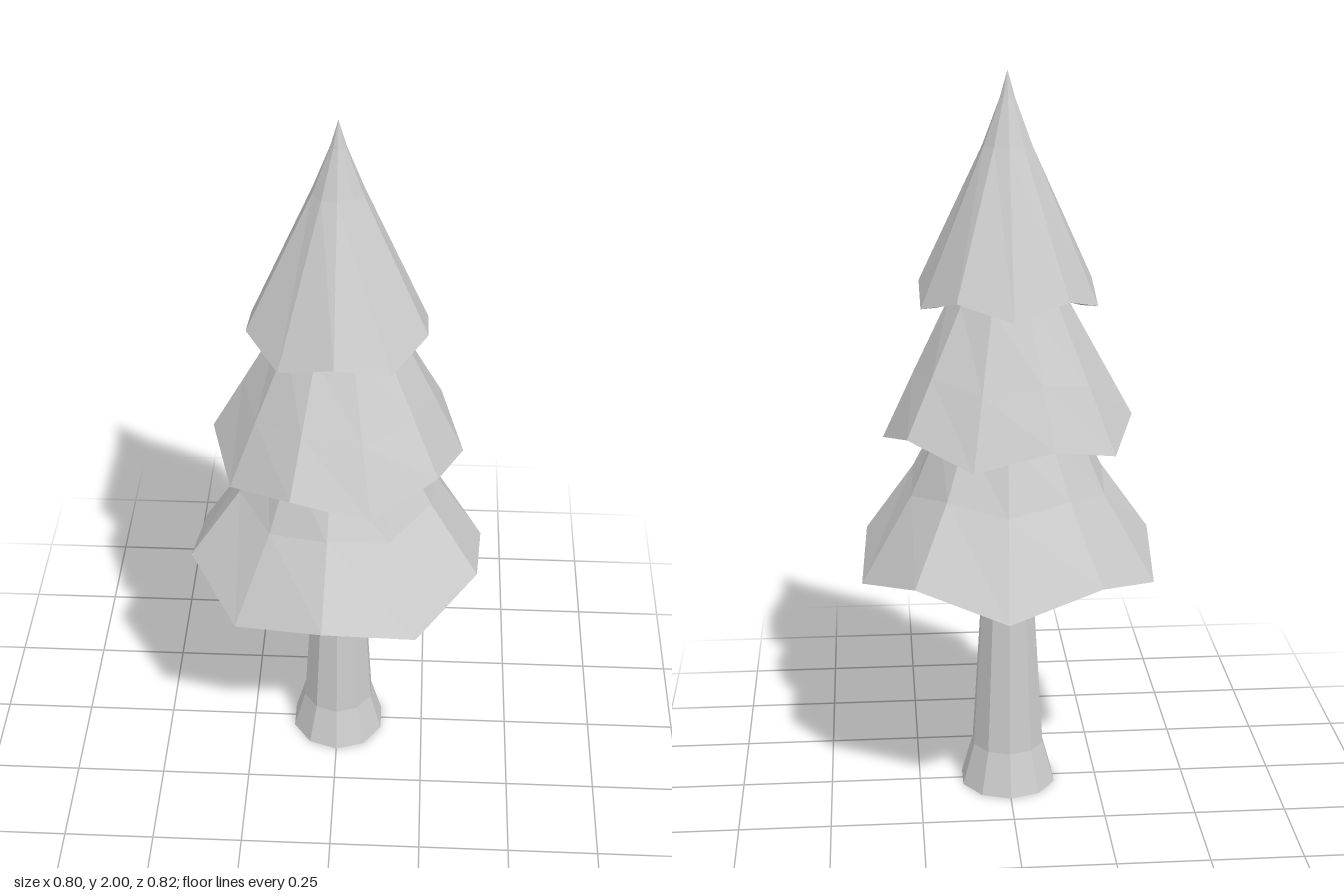
import * as THREE from 'three';

const SIDES = 10;
const material = new THREE.MeshStandardMaterial({ color: 0xcccccc, flatShading: true });

// Skins a stack of ten-sided rings [radius, y, zigzag], listed from the top outside downwards.
// Even corners are raised by the zigzag, odd corners lowered; turn is measured from +z towards +x.
function loft(name, rings, turn = 0) {
  const corner = ([r, y, zig = 0], i) => {
    const a = THREE.MathUtils.degToRad(turn) + (i * 2 * Math.PI) / SIDES;
    return [r * Math.sin(a), y + (i % 2 ? -zig : zig), r * Math.cos(a)];
  };
  const points = [];
  for (let k = 0; k < rings.length - 1; k++) {
    const [upper, lower] = [rings[k], rings[k + 1]];
    for (let i = 0; i < SIDES; i++) {
      const a = corner(upper, i), b = corner(upper, i + 1);
      const c = corner(lower, i), d = corner(lower, i + 1);
      if (lower[0] > 0) points.push(...a, ...c, ...d);
      if (upper[0] > 0) points.push(...a, ...d, ...b);
    }
  }
  const geometry = new THREE.BufferGeometry();
  geometry.setAttribute('position', new THREE.Float32BufferAttribute(points, 3));
  geometry.computeVertexNormals();
  const mesh = new THREE.Mesh(geometry, material);
  mesh.name = name;
  return mesh;
}

export function createModel() {
  const tree = new THREE.Group();
  tree.name = 'pineTree';

  // Tapered trunk with a flared foot
  tree.add(loft('trunk', [[0, 0.95], [0.055, 0.95], [0.066, 0.7], [0.102, 0.12], [0.135, 0], [0, 0]]));

  // Each tier: outer slope, zigzag rim, flat lip, hollow underside and ceiling
  tree.add(loft('lowerBranches', [
    [0, 1.32], [0.12, 1.25], [0.19, 1.07], [0.272, 0.9, 0.015],
    [0.413, 0.683, 0.033], [0.355, 0.683, 0.033], [0.14, 0.88], [0, 0.88],
  ], -3.5));
  tree.add(loft('middleBranches', [
    [0, 1.68], [0.09, 1.6], [0.155, 1.41], [0.252, 1.22, 0.013],
    [0.335, 1.055, 0.027], [0.285, 1.055, 0.027], [0.12, 1.22], [0, 1.22],
  ], -19));
  tree.add(loft('topBranches', [
    [0, 2], [0.02, 1.93], [0.066, 1.81],
    [0.243, 1.42, 0.021], [0.198, 1.42, 0.021], [0.1, 1.56], [0, 1.56],
  ]));

  return tree;
}
